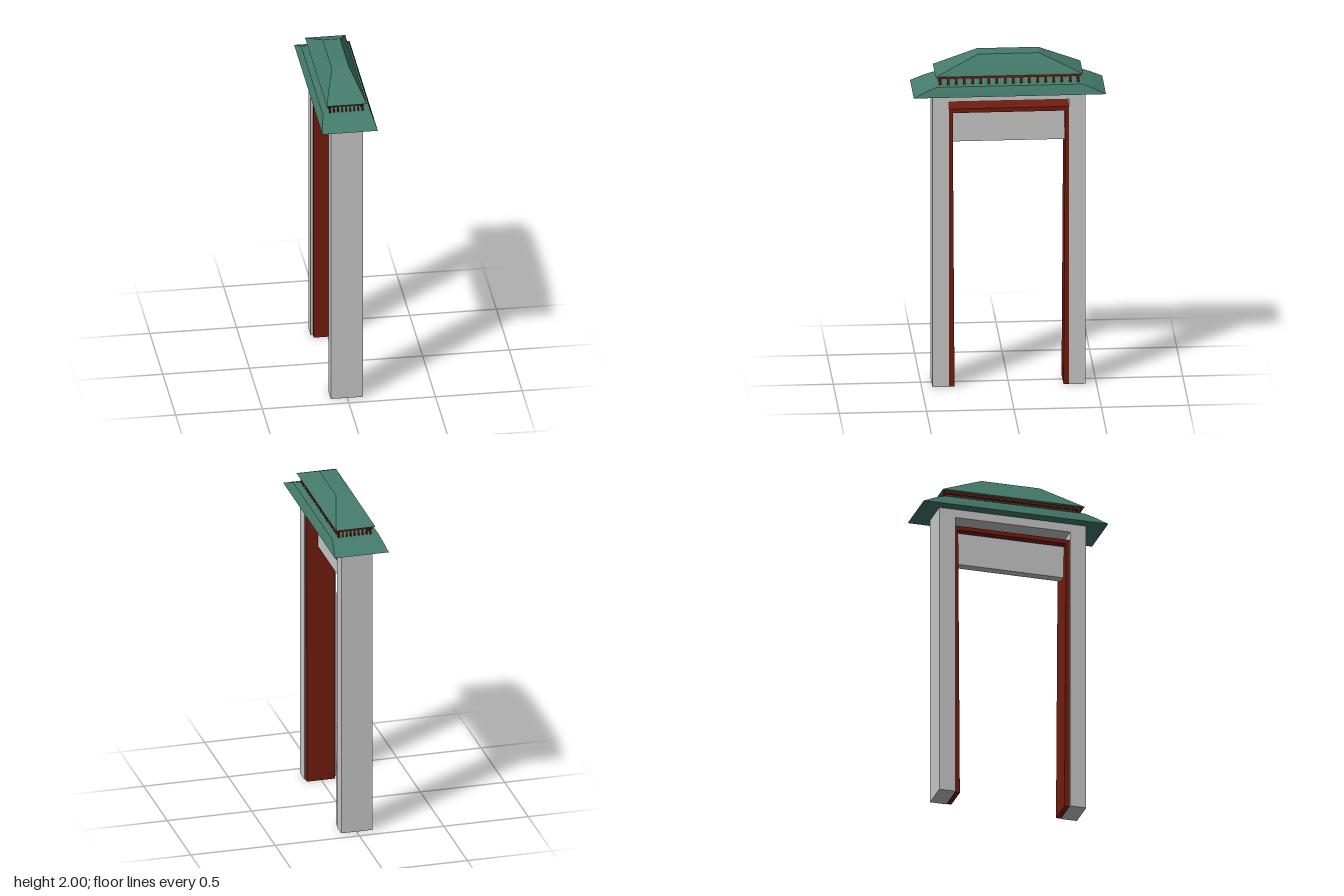
import * as THREE from 'three';

const grey = new THREE.MeshStandardMaterial({ color: 0xcccccc, flatShading: true });
const red = new THREE.MeshStandardMaterial({ color: 0x741d0e, flatShading: true });
const green = new THREE.MeshStandardMaterial({ color: 0x457d6c, flatShading: true });

function add(parent, name, geometry, material) {
  const mesh = new THREE.Mesh(geometry, material);
  mesh.name = name;
  parent.add(mesh);
  return mesh;
}

// Box given by its lower and upper limits on each axis
function box(parent, name, material, [x0, x1], [y0, y1], [z0, z1]) {
  const mesh = add(parent, name, new THREE.BoxGeometry(x1 - x0, y1 - y0, z1 - z0), material);
  mesh.position.set((x0 + x1) / 2, (y0 + y1) / 2, (z0 + z1) / 2);
  return mesh;
}

// Hipped roof: stacked rectangles [halfX, halfZ, y], closed at both ends
function hipRoof(rings) {
  const pos = [];
  const corners = rings.map(([x, z, y]) => [[x, y, z], [x, y, -z], [-x, y, -z], [-x, y, z]]);
  const quad = (a, b, c, d) => pos.push(...a, ...b, ...c, ...a, ...c, ...d);
  for (let i = 0; i < rings.length - 1; i++) {
    for (let k = 0; k < 4; k++) {
      const n = (k + 1) % 4;
      quad(corners[i][k], corners[i][n], corners[i + 1][n], corners[i + 1][k]);
    }
  }
  const bottom = corners[0], top = corners[corners.length - 1];
  quad(top[0], top[1], top[2], top[3]);
  quad(bottom[3], bottom[2], bottom[1], bottom[0]);
  const g = new THREE.BufferGeometry();
  g.setAttribute('position', new THREE.Float32BufferAttribute(pos, 3));
  g.computeVertexNormals();
  return g;
}

// Outline drawn in (z, y), extruded along x from x0 to x1
function extrudeX(points, x0, x1) {
  const shape = new THREE.Shape(points.map(([z, y]) => new THREE.Vector2(-z, y)));
  const g = new THREE.ExtrudeGeometry(shape, { depth: x1 - x0, bevelEnabled: false });
  g.rotateY(Math.PI / 2);
  return g.translate(x0, 0, 0);
}

export function createModel() {
  const gate = new THREE.Group();
  gate.name = 'gate';

  // Posts and the beam joining them, one continuous arch
  add(gate, 'postsAndBeam', extrudeX([
    [-0.438, 0], [-0.438, 1.79], [0.438, 1.79], [0.438, 0],
    [0.343, 0], [0.343, 1.725], [-0.343, 1.725], [-0.343, 0],
  ], -0.095, 0.09), grey);

  // Red lining of the opening, slightly thicker at the foot
  add(gate, 'doorLining', extrudeX([
    [-0.343, 0], [-0.343, 1.68], [0.343, 1.68], [0.343, 0],
    [0.312, 0], [0.322, 1.655], [-0.322, 1.655], [-0.312, 0],
  ], -0.082, 0.085), red);

  // Hanging panel under the lining
  box(gate, 'hangingPanel', grey, [-0.036, 0.018], [1.46, 1.66], [-0.323, 0.323]);

  // Paired wedge brackets under the eaves
  const brackets = new THREE.Group();
  brackets.name = 'eaveBrackets';
  gate.add(brackets);
  const wedge = new THREE.Shape([[0.085, 1.752], [0.093, 1.752], [0.113, 1.778], [0.085, 1.778]]
    .map(([x, y]) => new THREE.Vector2(x, y)));
  const wedgeGeometry = new THREE.ExtrudeGeometry(wedge, { depth: 0.014, bevelEnabled: false });
  for (let i = -3; i <= 3; i++) {
    for (const side of [-1, 1]) {
      add(brackets, 'bracket', wedgeGeometry, red).position.z = i * 0.127 + side * 0.011 - 0.007;
    }
  }

  // Lower roof skirt
  add(gate, 'lowerRoof', hipRoof([
    [0.16, 0.55, 1.775], [0.148, 0.48, 1.808], [0.138, 0.415, 1.832],
  ]), green);

  // Balustrade between the two roofs
  const balustrade = new THREE.Group();
  balustrade.name = 'balustrade';
  gate.add(balustrade);
  const hx = 0.094, hz = 0.395, n = 18, m = 8;
  const baluster = new THREE.BoxGeometry(0.009, 0.06, 0.014);
  const endBaluster = new THREE.BoxGeometry(0.008, 0.06, 0.009);
  for (const s of [-1, 1]) {
    for (let i = 0; i < n; i++) {
      add(balustrade, 'baluster', baluster, red).position.set(s * hx, 1.858, -hz + (2 * hz * i) / (n - 1));
    }
    for (let i = 1; i < m; i++) {
      add(balustrade, 'endBaluster', endBaluster, red).position.set(-hx + (2 * hx * i) / m, 1.858, s * hz);
    }
    box(balustrade, 'sideRail', red, [s * hx - 0.007, s * hx + 0.007], [1.868, 1.88], [-0.41, 0.41]);
    box(balustrade, 'endRail', red, [-0.1, 0.1], [1.868, 1.88], [s * hz - 0.007, s * hz + 0.007]);
  }

  // Upper hipped roof
  add(gate, 'upperRoof', hipRoof([
    [0.116, 0.422, 1.885], [0.082, 0.295, 1.943], [0.05, 0.175, 1.997], [0.035, 0.09, 2.0],
  ]), green);

  return gate;
}
